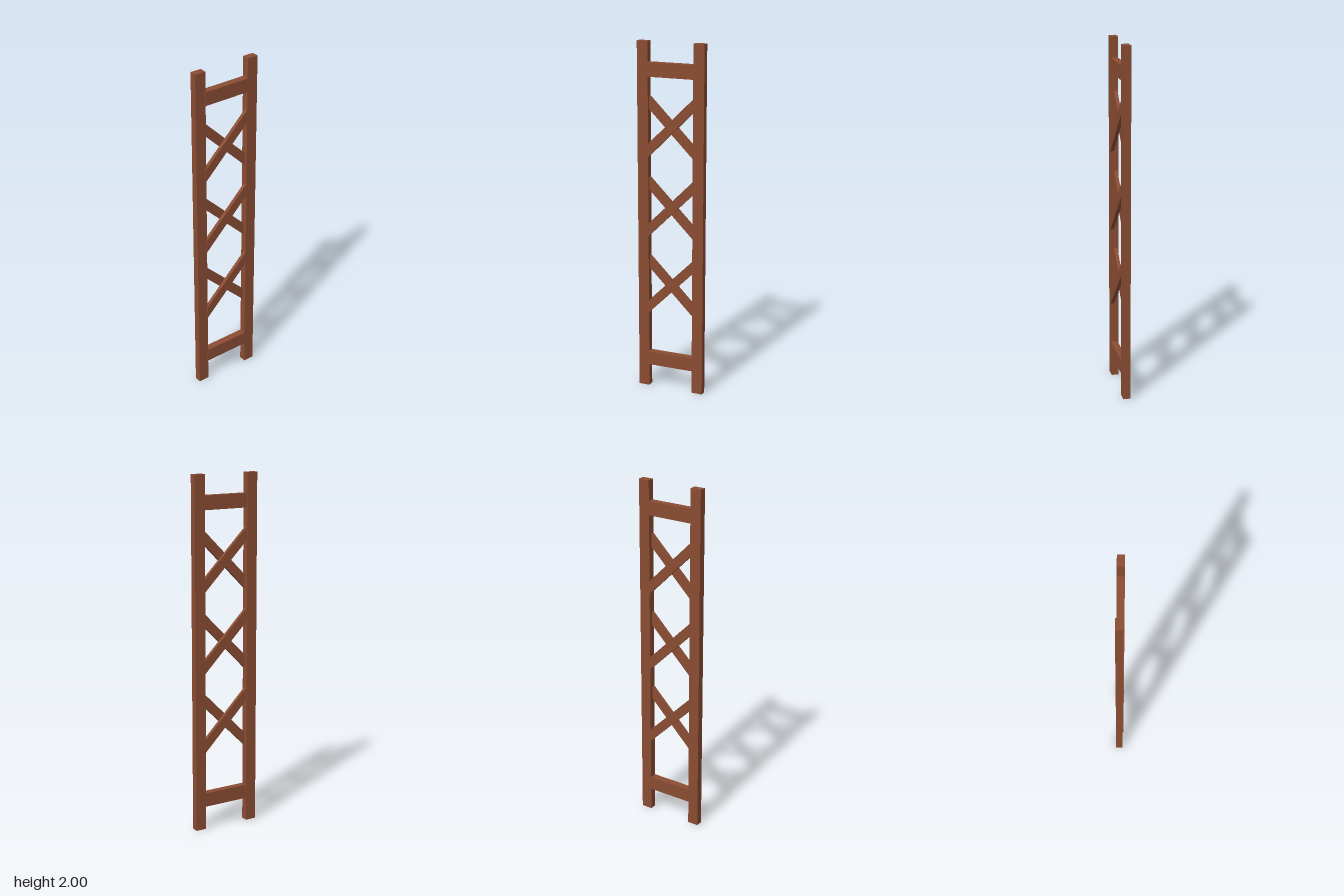
import * as THREE from 'three';

export function createModel() {
  const model = new THREE.Group();
  model.name = 'trellisFrame';
  const wood = new THREE.MeshStandardMaterial({ color: 0x8b4d33 });
  wood.name = 'reddish brown wood';

  const LEFT = 0.133, RIGHT = -0.138; // ends of the crosspieces
  const BACK = -0.0175, DEPTH = 0.04;

  function box(name, x0, x1, y0, y1, z0) {
    const mesh = new THREE.Mesh(new THREE.BoxGeometry(x1 - x0, y1 - y0, DEPTH), wood);
    mesh.name = name;
    mesh.position.set((x0 + x1) / 2, (y0 + y1) / 2, z0 + DEPTH / 2);
    model.add(mesh);
  }

  // Uprights, the right one set slightly further back
  box('leftPost', 0.133, 0.196, 0, 2, BACK);
  box('rightPost', -0.196, -0.133, 0, 2, -0.0225);

  // Level rails
  box('bottomRail', RIGHT, LEFT, 0.133, 0.213, BACK);
  box('topRail', RIGHT, LEFT, 1.809, 1.887, BACK);

  // Diagonal slat with ends cut upright against the posts
  function brace(name, y, slope, z0) {
    const half = 0.037;
    const shape = new THREE.Shape([
      new THREE.Vector2(RIGHT, RIGHT * slope - half),
      new THREE.Vector2(LEFT, LEFT * slope - half),
      new THREE.Vector2(LEFT, LEFT * slope + half),
      new THREE.Vector2(RIGHT, RIGHT * slope + half),
    ]);
    const geometry = new THREE.ExtrudeGeometry(shape, { depth: DEPTH / 2, bevelEnabled: false });
    const mesh = new THREE.Mesh(geometry, wood);
    mesh.name = name;
    mesh.position.set(0, y, z0);
    model.add(mesh);
  }

  // Three crosses, each with a front and a back slat
  [0.623, 1.079, 1.534].forEach((y, i) => {
    brace(`frontBrace${i + 1}`, y, 1, BACK + DEPTH / 2);
    brace(`backBrace${i + 1}`, y, -1, BACK);
  });

  return model;
}
